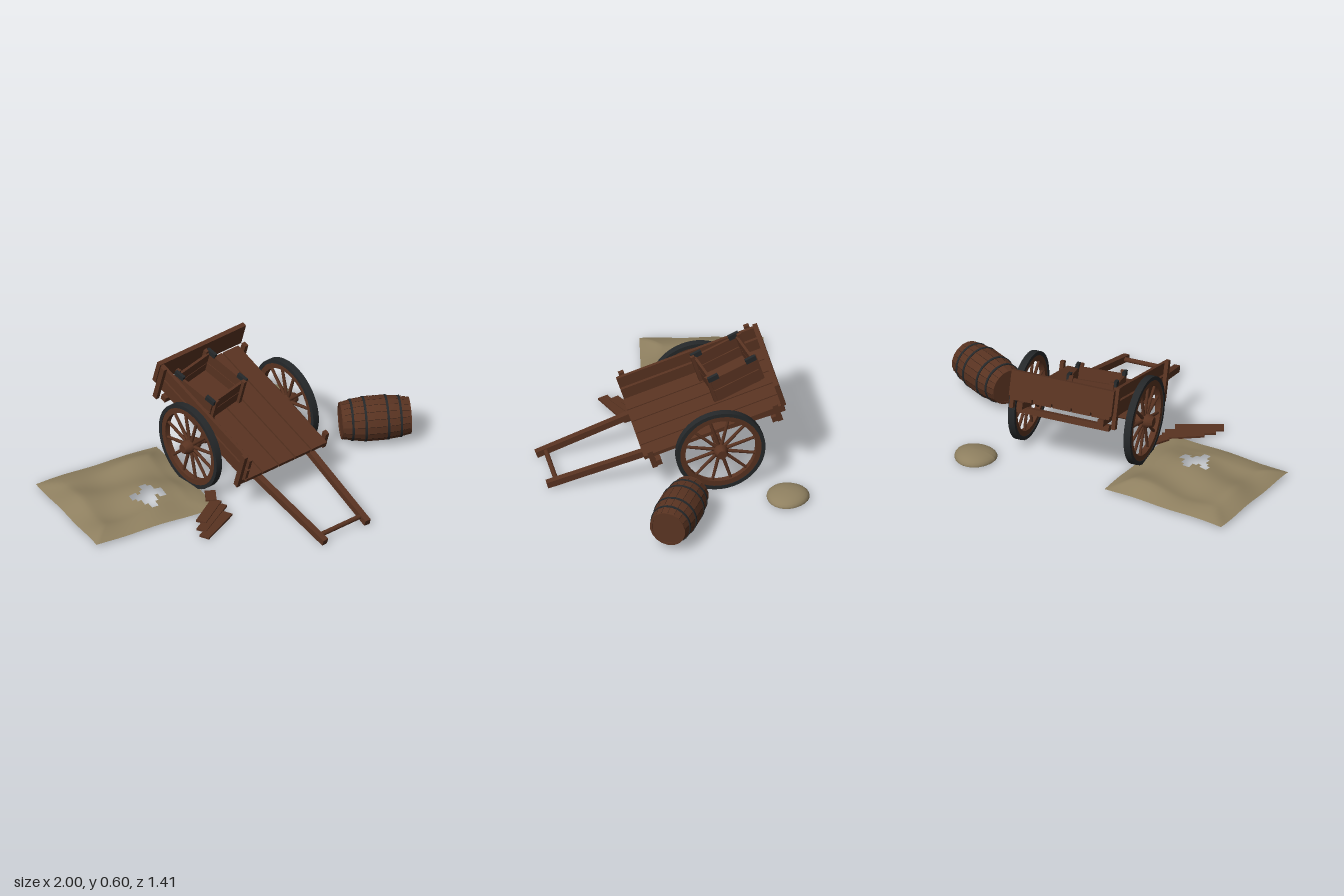
import * as THREE from 'three';
import { toCreasedNormals } from 'three/addons/utils/BufferGeometryUtils.js';

const wood = new THREE.MeshStandardMaterial({ color: 0x593321 });
wood.name = 'wood';
const darkWood = new THREE.MeshStandardMaterial({ color: 0x2c1a12 });
darkWood.name = 'dark wood';
const iron = new THREE.MeshStandardMaterial({ color: 0x25282a });
iron.name = 'iron';
const cloth = new THREE.MeshStandardMaterial({ color: 0x8f8060, side: THREE.DoubleSide });
cloth.name = 'canvas';

function add(parent, name, geo, mat, x = 0, y = 0, z = 0) {
  const m = new THREE.Mesh(geo, mat);
  m.name = name;
  m.position.set(x, y, z);
  parent.add(m);
  return m;
}
const box = (p, name, mat, w, h, d, x, y, z) => add(p, name, new THREE.BoxGeometry(w, h, d), mat, x, y, z);

function lathe(points, segments, start = 0, length = Math.PI * 2) {
  const pts = points.map(([r, y]) => new THREE.Vector2(r, y));
  return toCreasedNormals(new THREE.LatheGeometry(pts, segments, start, length), 0.5);
}
const ring = (ri, ro, w, n = 40) => lathe([[ri, -w], [ro, -w], [ro, w], [ri, w], [ri, -w]], n);

// Spoked wheel whose axis is local y, turned to lie along x
function makeWheel() {
  const g = new THREE.Group();
  g.name = 'wheel';
  add(g, 'tyre', ring(0.221, 0.242, 0.019), iron);
  add(g, 'felloe', ring(0.192, 0.222, 0.016), wood);
  add(g, 'hub', lathe([[0, -0.055], [0.026, -0.055], [0.038, -0.025], [0.038, 0.025], [0.026, 0.055], [0, 0.055]], 16), wood);
  for (let i = 0; i < 12; i++) {
    const a = i * Math.PI / 6;
    const s = add(g, 'spoke', new THREE.CylinderGeometry(0.008, 0.01, 0.18, 8), wood, Math.cos(a) * 0.115, 0, Math.sin(a) * 0.115);
    s.rotation.set(0, -a, -Math.PI / 2, 'YXZ');
  }
  g.rotation.z = Math.PI / 2;
  return g;
}

// Open crate of boards with corner posts
function makeCrate() {
  const g = new THREE.Group();
  g.name = 'crate';
  box(g, 'crateFloor', wood, 0.26, 0.015, 0.25, 0, 0.01, 0);
  for (const s of [-1, 1]) {
    for (const y of [0.042, 0.115]) {
      box(g, 'crateSide', wood, 0.014, 0.068, 0.25, s * 0.128, y, 0);
      box(g, 'crateEnd', wood, 0.27, 0.068, 0.014, 0, y, s * 0.125);
    }
    for (const t of [-1, 1]) {
      box(g, 'cratePost', wood, 0.022, 0.165, 0.022, s * 0.112, 0.083, t * 0.138);
      box(g, 'crateBracket', iron, 0.018, 0.028, 0.06, s * 0.128, 0.155, t * 0.112);
    }
  }
  return g;
}

function makeCart() {
  const cart = new THREE.Group();
  cart.name = 'cart';
  cart.position.set(0.095, 0.252, -0.204);
  cart.rotation.x = 0.297;

  // Wheels and axle
  for (const s of [-1, 1]) {
    const w = makeWheel();
    w.position.x = s * 0.333;
    cart.add(w);
  }
  const axle = add(cart, 'axle', new THREE.CylinderGeometry(0.018, 0.018, 0.77, 12), wood);
  axle.rotation.z = Math.PI / 2;
  box(cart, 'axleBeam', wood, 0.5, 0.045, 0.045, 0, 0.015, 0);

  // Bed planks and cross bearers
  for (let i = 0; i < 5; i++) box(cart, 'floorPlank', wood, 0.104, 0.02, 0.78, (i - 2) * 0.112, 0.08, 0.004);
  for (const z of [-0.33, 0.33]) box(cart, 'bearer', wood, 0.53, 0.032, 0.035, 0, 0.012, z);

  // Converging shafts with a round handle bar
  for (const s of [-1, 1]) {
    const shaft = box(cart, 'shaft', wood, 0.034, 0.036, 1.33, s * 0.189, 0.048, 0.265);
    shaft.rotation.y = -s * 0.066;
  }
  const bar = add(cart, 'handleBar', new THREE.CylinderGeometry(0.013, 0.013, 0.32, 12), wood, 0, 0.05, 0.875);
  bar.rotation.z = Math.PI / 2;

  // Remaining side wall, and post stubs on the broken side
  for (const y of [0.125, 0.202]) box(cart, 'sideBoard', wood, 0.018, 0.064, 0.78, -0.277, y, 0);
  for (const z of [-0.355, 0.355]) {
    box(cart, 'sidePost', wood, 0.022, 0.23, 0.03, -0.297, 0.133, z);
    box(cart, 'brokenPost', wood, 0.022, 0.105, 0.03, 0.291, 0.07, z);
  }
  // Tailboard
  box(cart, 'tailboard', wood, 0.59, 0.14, 0.026, 0, 0.168, -0.4);

  const crate = makeCrate();
  crate.position.set(-0.105, 0.09, -0.185);
  crate.rotation.y = 0.17;
  cart.add(crate);
  return cart;
}

// Barrel of separate staves around a dark core
function makeBarrel() {
  const g = new THREE.Group();
  g.name = 'barrel';
  const half = 0.185, n = 18, step = Math.PI * 2 / n;
  const radius = y => 0.122 - 0.023 * (y / half) ** 2;
  const ys = [-1, -0.6, -0.2, 0.2, 0.6, 1].map(t => t * half);
  const profile = ys.map(y => [radius(y), y]);
  for (let i = 0; i < n; i++) add(g, 'stave', lathe(profile, 1, i * step, step * 0.95), wood);
  add(g, 'core', lathe(ys.map(y => [radius(y) - 0.004, y]), n), darkWood);
  for (const s of [-1, 1]) {
    add(g, 'lid', new THREE.CylinderGeometry(0.097, 0.097, 0.006, n), wood, 0, s * 0.179, 0);
    add(g, 'rim', ring(0.088, 0.1, 0.004, n), wood, 0, s * 0.182, 0);
    for (const y of [0.06, 0.13]) {
      add(g, 'hoop', ring(radius(y) - 0.008, radius(y) + 0.002, 0.006, 36), iron, 0, s * y, 0);
    }
  }
  g.quaternion.setFromUnitVectors(new THREE.Vector3(0, 1, 0), new THREE.Vector3(0.856, 0, 0.517).normalize());
  g.position.set(0.787, 0.142, 0.092);
  return g;
}

// Rumpled sheet with a ragged hole
function makeSheet() {
  const nx = 36, nz = 32, w = 0.735, d = 0.66;
  const geo = new THREE.PlaneGeometry(w, d, nx, nz).rotateX(-Math.PI / 2);
  const p = geo.attributes.position;
  for (let i = 0; i < p.count; i++) {
    const x = p.getX(i), z = p.getZ(i);
    const edge = Math.min(1, 9 * Math.min(w / 2 - Math.abs(x), d / 2 - Math.abs(z)));
    const wave = Math.sin(x * 15 + z * 4) * 0.5 + Math.sin(z * 19 - x * 5 + 1) * 0.5;
    p.setY(i, 0.014 + 0.006 * (1 + wave) + edge * (0.033 + 0.016 * wave));
  }
  const hole = [
    '000011000', '000011100', '110111100', '111111111', '011111111',
    '001111011', '001111000', '000110000', '000110000',
  ];
  const index = [];
  for (let r = 0; r < nz; r++) {
    for (let c = 0; c < nx; c++) {
      if (hole[r - 17]?.[c - 17] === '1') continue;
      const k = (r * nx + c) * 6;
      for (let j = 0; j < 6; j++) index.push(geo.index.getX(k + j));
    }
  }
  geo.setIndex(index);
  geo.computeVertexNormals();
  const m = new THREE.Mesh(geo, cloth);
  m.name = 'sheet';
  m.position.set(-0.585, 0, -0.317);
  m.rotation.y = -0.175;
  return m;
}

// Slumped sack, flat underneath
function makeSack() {
  const geo = new THREE.SphereGeometry(0.115, 24, 14);
  const p = geo.attributes.position;
  for (let i = 0; i < p.count; i++) {
    const x = p.getX(i), y = p.getY(i), z = p.getZ(i);
    const k = 1 + 0.03 * Math.sin(3 * Math.atan2(z, x));
    p.setXYZ(i, x * k, y > 0 ? y * (0.4 - 0.5 * z) : y * 0.1, z * k);
  }
  geo.computeVertexNormals();
  const m = new THREE.Mesh(geo, cloth);
  m.name = 'sack';
  m.position.set(0.597, 0.018, -0.535);
  return m;
}

export function createModel() {
  const model = new THREE.Group();
  model.name = 'brokenCart';
  model.add(makeCart(), makeBarrel(), makeSheet(), makeSack());

  // Loose boards on the ground: x, y, z, length, turn
  const boards = [
    [-0.39, 0.016, 0.195, 0.26, 0.38], [-0.365, 0.02, 0.13, 0.27, 0.46],
    [-0.345, 0.025, 0.08, 0.22, 0.5], [-0.25, 0.03, -0.02, 0.09, 0.95],
  ];
  for (const [x, y, z, len, turn] of boards) {
    box(model, 'looseBoard', wood, len, 0.011, 0.058, x, y, z).rotation.y = turn;
  }
  return model;
}
